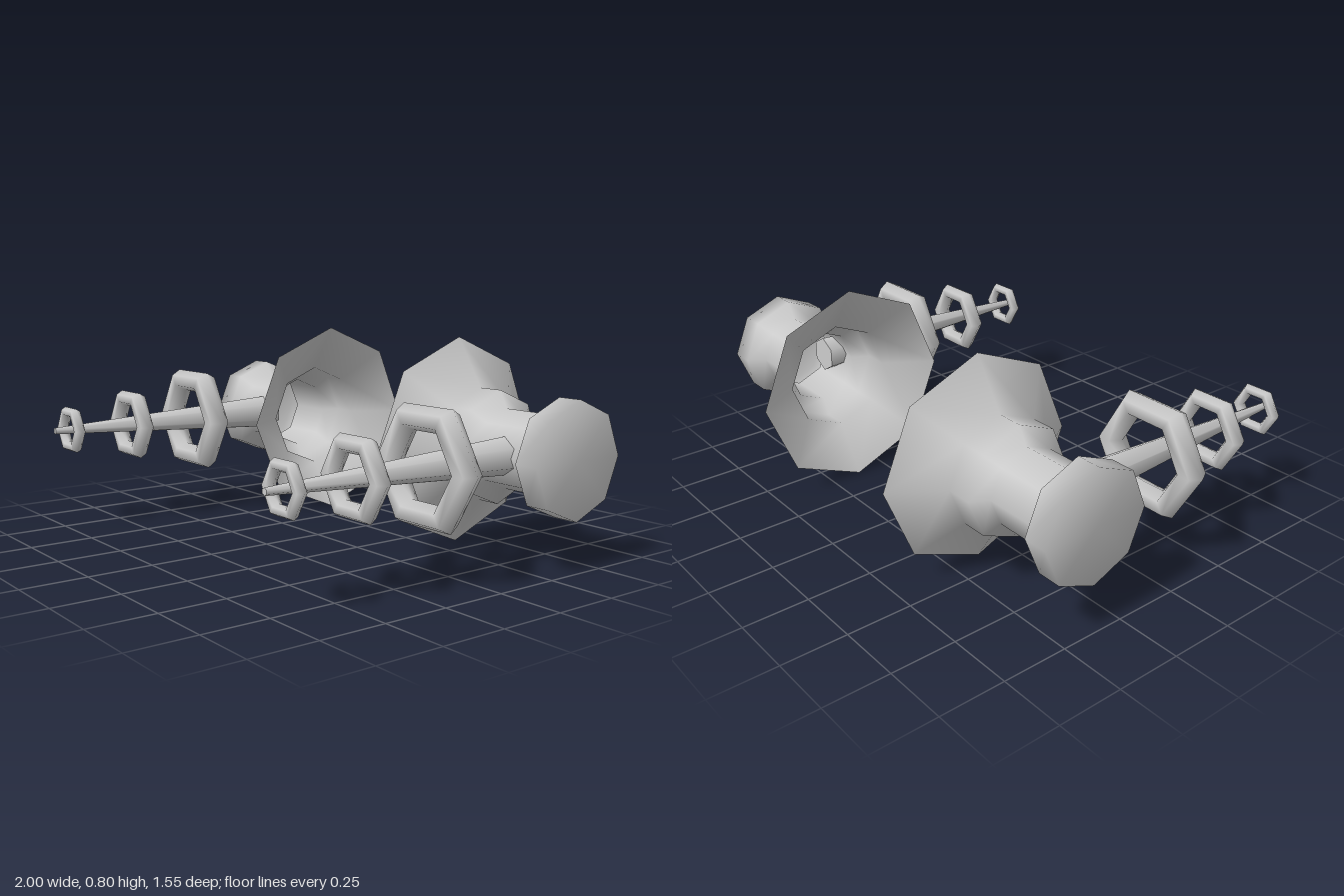
import * as THREE from 'three';

const AXIS_Y = 0.4, BODY_Z = -0.375, ROD_X = 0.76;

function createUnit(side) {
  const unit = new THREE.Group();
  unit.name = side > 0 ? 'leftUnit' : 'rightUnit';
  const material = new THREE.MeshStandardMaterial({ color: 0xcccccc });
  const shell = new THREE.MeshStandardMaterial({ color: 0xcccccc, side: THREE.DoubleSide });

  const add = (name, geometry, x, z, mat = material) => {
    const mesh = new THREE.Mesh(geometry, mat);
    mesh.name = name;
    mesh.position.set(x, AXIS_Y, z);
    unit.add(mesh);
  };

  // Eight-sided spool: open flare facing inward, collar, neck, closed knob.
  // Each point is [radius, distance from the middle of the model].
  const profile = [
    [0.4, 0.4], [0.215, 0.52], [0.215, 0.62], [0.15, 0.655],
    [0.15, 0.86], [0.215, 0.9], [0.215, 0.995], [0, 0.995],
  ].map(([r, d]) => new THREE.Vector2(r, d));
  const body = new THREE.LatheGeometry(profile, 8);
  body.rotateZ(-side * Math.PI / 2);
  add('flaredBody', body, 0, BODY_Z, shell);

  // Tapered rod pointing forward, its base sunk into the neck
  const back = -0.3, tip = 0.775;
  const rod = new THREE.CylinderGeometry(0.013, 0.073, tip - back, 6);
  rod.rotateX(Math.PI / 2);
  add('taperedRod', rod, side * ROD_X, (back + tip) / 2);

  // Hexagonal rings floating around the rod: [name, ring radius, tube radius, z]
  for (const [name, radius, tube, z] of [
    ['largeRing', 0.189, 0.051, 0.118],
    ['middleRing', 0.124, 0.035, 0.427],
    ['smallRing', 0.081, 0.023, 0.703],
  ]) {
    add(name, new THREE.TorusGeometry(radius, tube, 6, 6), side * ROD_X, z);
  }
  return unit;
}

export function createModel() {
  const model = new THREE.Group();
  model.name = 'ringedRodPair';
  for (const side of [1, -1]) model.add(createUnit(side));
  return model;
}
